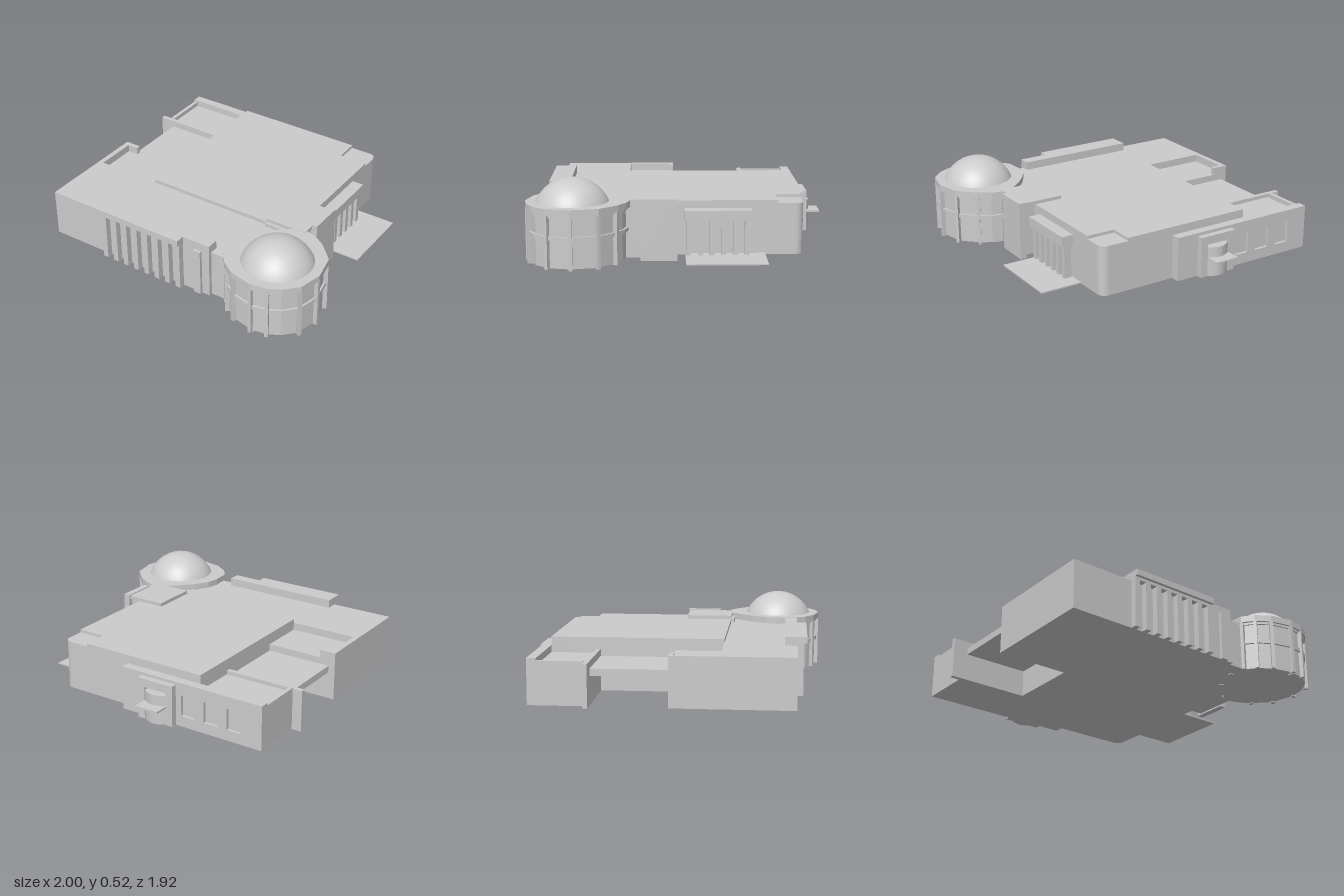
import * as THREE from 'three';

const mat = new THREE.MeshStandardMaterial({ color: 0xcccccc });

export function createModel() {
  const root = new THREE.Group();

  const add = (name, geo) => {
    const m = new THREE.Mesh(geo, mat);
    m.name = name;
    root.add(m);
    return m;
  };
  // axis-aligned box from its limits
  const box = (name, x0, x1, y0, y1, z0, z1) => {
    const g = new THREE.BoxGeometry(x1 - x0, y1 - y0, z1 - z0);
    g.translate((x0 + x1) / 2, (y0 + y1) / 2, (z0 + z1) / 2);
    return add(name, g);
  };
  // upright prism over a plan outline of [x, z] points
  const prism = (name, pts, y0, y1) => {
    const s = new THREE.Shape(pts.map(([x, z]) => new THREE.Vector2(x, -z)));
    const g = new THREE.ExtrudeGeometry(s, { depth: y1 - y0, bevelEnabled: false });
    g.rotateX(-Math.PI / 2);
    g.translate(0, y0, 0);
    return add(name, g);
  };

  // main hall, with a rounded back corner and a lower corner roof
  const corner = [];
  for (let i = 0; i <= 6; i++) {
    const a = (i / 6) * Math.PI / 2;
    corner.push([0.56 + 0.05 * Math.cos(a), -0.72 - 0.05 * Math.sin(a)]);
  }
  prism('mainHall', [[-0.46, 0.34], [0.61, 0.34], ...corner, [-0.46, -0.77]], 0.01, 0.335);
  prism('mainRoof', [[-0.46, 0.34], [0.61, 0.34], [0.61, -0.61], [0.42, -0.61], [0.42, -0.77], [-0.46, -0.77]], 0.335, 0.355);

  // front wing, with a sunken roof terrace behind an L-shaped parapet
  prism('frontWing', [[-0.945, 0.34], [-0.945, 0.8], [0.295, 0.8], [0.295, 0.775], [0.42, 0.775], [0.61, 0.34]], 0.01, 0.33);
  box('terrace', -0.945, -0.46, 0.01, 0.28, 0.03, 0.34);
  prism('terraceParapet', [[-0.945, 0.34], [-0.91, 0.34], [-0.91, 0.06], [-0.835, 0.06], [-0.835, 0.03], [-0.945, 0.03]], 0.28, 0.33);

  // front fascia and the fins below it
  box('fascia', -0.52, 0.1, 0.345, 0.385, 0.72, 0.86);
  box('fasciaSoffit', -0.52, 0.1, 0.325, 0.345, 0.72, 0.84);
  box('fasciaEnd', 0.1, 0.295, 0.33, 0.385, 0.72, 0.8);
  for (let i = 0; i < 8; i++) {
    const x = -0.52 + i * 0.083;
    box('frontFin', x, x + 0.036, 0.01, 0.335, 0.79, 0.84);
  }
  box('frontFin', 0.19, 0.24, 0.01, 0.33, 0.79, 0.82);

  // open side porch on the left-hand notch
  box('porchRoof', -0.9, -0.46, 0.19, 0.235, -0.45, 0.03);
  box('porchWall', -1, -0.46, 0.01, 0.28, -0.48, -0.45);

  // back wing with parapets and a sunken roof
  box('backWing', -0.935, -0.46, 0.01, 0.255, -0.81, -0.48);
  box('backWingParapet', -0.935, -0.91, 0.255, 0.285, -0.77, -0.48);
  box('backStrip', -0.935, 0.09, 0.01, 0.3, -0.81, -0.77);

  // back wall skin with window openings
  const wall = new THREE.Shape();
  wall.moveTo(-0.935, 0.01).lineTo(0.09, 0.01).lineTo(0.09, 0.3).lineTo(-0.935, 0.3).closePath();
  for (const x of [-0.74, -0.575, -0.41]) {
    const h = new THREE.Path();
    h.moveTo(x - 0.05, 0.08).lineTo(x - 0.05, 0.22).lineTo(x + 0.05, 0.22).lineTo(x + 0.05, 0.08).closePath();
    wall.holes.push(h);
  }
  const wallGeo = new THREE.ExtrudeGeometry(wall, { depth: 0.02, bevelEnabled: false });
  wallGeo.translate(0, 0, -0.83);
  add('backWindowWall', wallGeo);

  // back portal: frame, curved bay and thin canopy
  box('portalFrame', -0.32, -0.27, 0.01, 0.28, -0.87, -0.83);
  box('portalFrame', -0.11, -0.06, 0.01, 0.28, -0.87, -0.83);
  box('portalLintel', -0.27, -0.11, 0.225, 0.28, -0.87, -0.83);
  const bay = [[-0.11, -0.83]];
  for (let i = 0; i <= 8; i++) {
    const t = i / 8;
    bay.push([-0.11 - 0.16 * t, -0.865 - 0.032 * Math.sin(Math.PI * t)]);
  }
  bay.push([-0.27, -0.83]);
  prism('portalBay', bay, 0.01, 0.205);
  box('portalCanopy', -0.275, -0.11, 0.125, 0.137, -0.965, -0.86);

  // side entrance: ground plate, canopy and columns
  box('entrancePlate', 0.6, 0.89, 0.01, 0.018, -0.53, -0.03);
  box('entranceCanopy', 0.6, 0.69, 0.24, 0.305, -0.44, -0.025);
  for (let i = 0; i < 6; i++) {
    const z = -0.43 + i * 0.073;
    box('entranceColumn', 0.62, 0.67, 0.01, 0.24, z, z + 0.03);
  }

  // link between hall and tower, ending in a tall fin wall
  box('linkBody', 0.42, 0.69, 0.01, 0.355, 0.05, 0.36);
  prism('linkRoof', [[0.42, 0.34], [0.7, 0.34], [0.7, 0.03], [0.42, 0.03]], 0.355, 0.378);
  box('finWall', 0.69, 0.735, 0, 0.385, 0.02, 0.25);

  // tower: faceted drum, belts, ribs, cornice and dome
  const cx = 0.7, cz = 0.66;
  const plan = [[0.61, 0.34], [0.52, 0.42], [0.45, 0.5], [0.4, 0.58], [0.385, 0.67], [0.395, 0.79],
    [0.45, 0.86], [0.54, 0.92], [0.69, 0.955], [0.8, 0.935], [0.88, 0.895], [0.96, 0.81],
    [0.995, 0.66], [0.96, 0.49], [0.85, 0.38], [0.77, 0.33], [0.695, 0.31]];
  const scaled = (k) => plan.map(([x, z]) => [cx + (x - cx) * k, cz + (z - cz) * k]);
  prism('towerDrum', scaled(0.92), 0.01, 0.34);
  prism('towerBelt', scaled(0.965), 0.183, 0.207);
  prism('towerHeadBand', scaled(0.955), 0.318, 0.335);
  prism('towerCornice', plan, 0.333, 0.375);
  scaled(0.94).forEach(([x, z], i) => {
    if (i < 2 || i > 14 || i === 3 || i === 10) return;
    const rib = add('towerRib', new THREE.BoxGeometry(0.022, 0.33, 0.035));
    rib.position.set(x, 0.17, z);
    rib.rotation.y = Math.atan2(x - cx, z - cz);
  });
  box('towerFoot', 0.69, 0.71, 0, 0.02, 0.9, 0.93);

  const r = 0.225, h = 0.147, R = (r * r + h * h) / (2 * h);
  const dome = add('dome', new THREE.SphereGeometry(R, 48, 12, 0, Math.PI * 2, 0, Math.asin(r / R)));
  dome.position.set(0.705, 0.375 + h - R, 0.665);

  return root;
}
